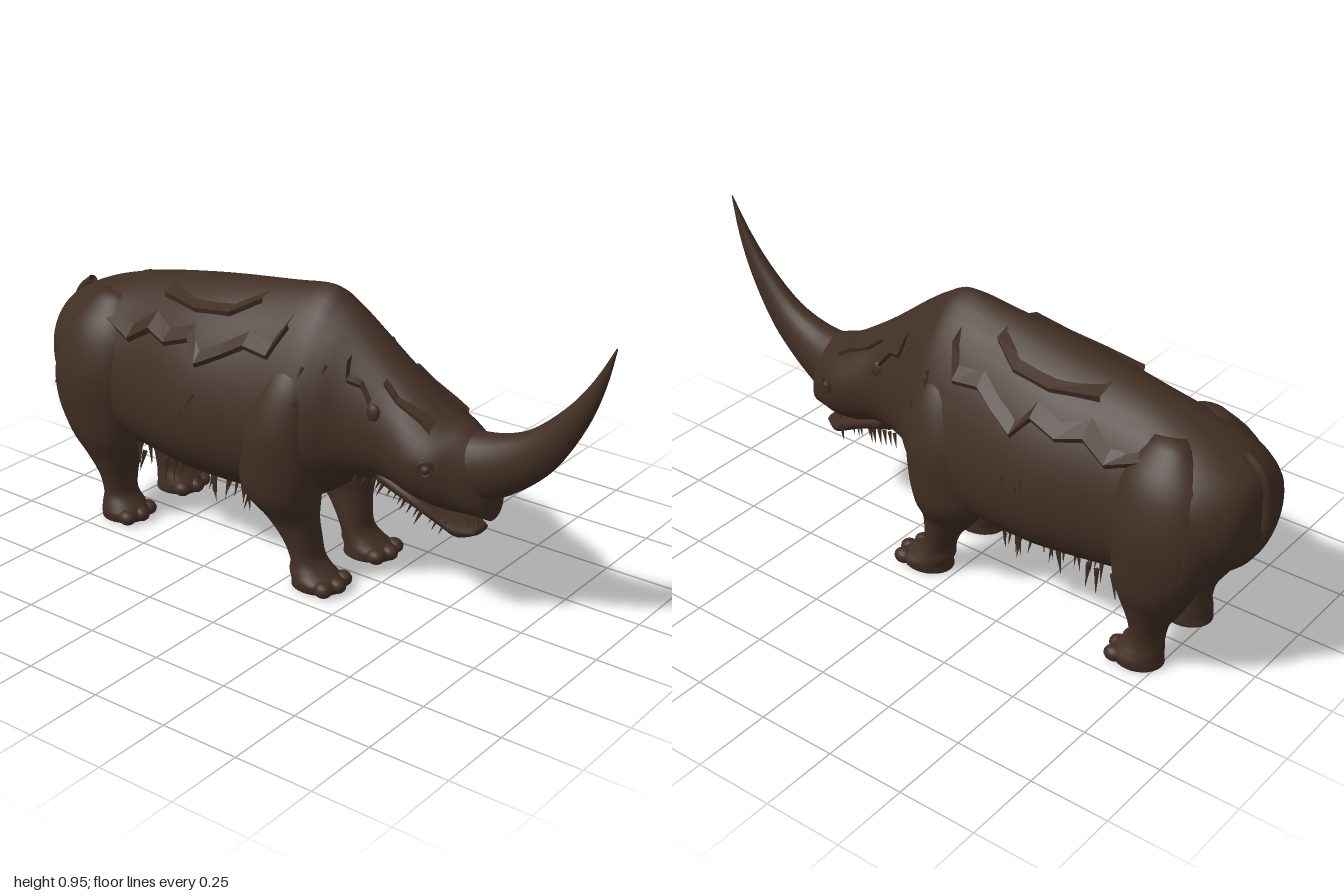
import * as THREE from 'three';

const fur = new THREE.MeshStandardMaterial({ color: 0x402e23, side: THREE.DoubleSide });
fur.name = 'darkBrownFur';

// Catmull-Rom through table rows
function smoothRows(rows, sub) {
  const out = [];
  const at = i => rows[Math.max(0, Math.min(rows.length - 1, i))];
  for (let i = 0; i < rows.length - 1; i++) {
    for (let k = 0; k < sub; k++) {
      const t = k / sub;
      out.push(rows[i].map((b, c) => {
        const a = at(i - 1)[c], d = at(i + 1)[c], e = at(i + 2)[c];
        return b + 0.5 * t * (d - a + t * (2 * a - 5 * b + 4 * d - e + t * (3 * (b - d) + e - a)));
      }));
    }
  }
  out.push(rows[rows.length - 1]);
  return out;
}

// Closed skin over cross-sections; ring(row, cos, sin) gives a point
function loft(name, rows, ring, n = 28, sub = 4) {
  const pos = [], idx = [], R = smoothRows(rows, sub);
  for (const r of R) {
    for (let j = 0; j < n; j++) {
      const a = (j / n) * Math.PI * 2;
      pos.push(...ring(r, Math.cos(a), Math.sin(a)));
    }
  }
  for (let i = 0; i < R.length - 1; i++) {
    for (let j = 0; j < n; j++) {
      const a = i * n + j, b = i * n + (j + 1) % n;
      idx.push(a, b, a + n, b, b + n, a + n);
    }
  }
  for (const i of [0, R.length - 1]) {
    const c = new THREE.Vector3(), m = pos.length / 3;
    for (let j = 0; j < n; j++) c.add(new THREE.Vector3().fromArray(pos, (i * n + j) * 3));
    pos.push(...c.divideScalar(n).toArray());
    for (let j = 0; j < n; j++) {
      const a = i * n + j, b = i * n + (j + 1) % n;
      if (i === 0) idx.push(m, b, a); else idx.push(m, a, b);
    }
  }
  const g = new THREE.BufferGeometry();
  g.setAttribute('position', new THREE.Float32BufferAttribute(pos, 3));
  g.setIndex(idx);
  g.computeVertexNormals();
  return mesh(name, g);
}

function mesh(name, geometry) {
  const m = new THREE.Mesh(geometry, fur);
  m.name = name;
  return m;
}

// Rows: z, top, bottom, height of widest point, half width, upper roundness
const bodyRows = [
  [-0.98, 0.64, 0.46, 0.55, 0.09, 2], [-0.955, 0.69, 0.4, 0.54, 0.15, 2],
  [-0.88, 0.735, 0.35, 0.52, 0.21, 2], [-0.78, 0.775, 0.29, 0.5, 0.24, 1.9],
  [-0.6, 0.825, 0.255, 0.48, 0.235, 1.8], [-0.35, 0.87, 0.235, 0.48, 0.275, 1.7],
  [-0.1, 0.905, 0.235, 0.48, 0.262, 1.6], [0.05, 0.925, 0.26, 0.48, 0.25, 1.55],
  [0.12, 0.895, 0.3, 0.5, 0.22, 1.6], [0.2, 0.84, 0.355, 0.53, 0.17, 1.7],
  [0.32, 0.745, 0.38, 0.53, 0.145, 1.8], [0.42, 0.675, 0.36, 0.51, 0.158, 1.7],
  [0.5, 0.625, 0.345, 0.5, 0.148, 1.7], [0.56, 0.605, 0.345, 0.46, 0.115, 1.8],
  [0.61, 0.56, 0.345, 0.42, 0.085, 2], [0.64, 0.45, 0.335, 0.39, 0.05, 2],
];
const bodyRing = ([z, top, bot, yc, w, p], c, s) => {
  const q = s >= 0 ? p : 2.2;
  return [
    w * Math.sign(c) * Math.abs(c) ** (2 / q),
    yc + (s >= 0 ? top - yc : bot - yc) * Math.abs(s) ** (2 / q), z];
};
const dense = smoothRows(bodyRows, 8);
// Half width of the body at a given z and y
function bodyX(z, y) {
  const r = dense.find(d => d[0] >= z) || dense[dense.length - 1];
  const up = y > r[3], q = up ? r[5] : 2.2;
  const t = Math.min(1, up ? (y - r[3]) / (r[1] - r[3]) : (r[3] - y) / (r[3] - r[2]));
  return r[4] * (1 - t ** q) ** (1 / q);
}

const legRing = ([y, zc, rz, xc, rx], c, s) => [xc + rx * c, y, zc - rz * s];
const frontLegRows = [
  [0.005, 0.105, 0.085, 0.133, 0.07], [0.03, 0.11, 0.088, 0.135, 0.073],
  [0.055, 0.085, 0.072, 0.132, 0.066], [0.09, 0.065, 0.05, 0.128, 0.061],
  [0.15, 0.045, 0.06, 0.13, 0.064], [0.22, 0.015, 0.09, 0.14, 0.073],
  [0.3, -0.01, 0.125, 0.155, 0.108], [0.4, -0.01, 0.14, 0.16, 0.115],
  [0.52, 0, 0.13, 0.165, 0.107], [0.66, 0.02, 0.09, 0.15, 0.072], [0.76, 0.02, 0.03, 0.12, 0.02],
];
const hindLegRows = [
  [0.005, -0.685, 0.078, 0.133, 0.07], [0.03, -0.68, 0.08, 0.135, 0.073],
  [0.055, -0.69, 0.07, 0.132, 0.066], [0.09, -0.705, 0.053, 0.128, 0.058],
  [0.15, -0.71, 0.062, 0.13, 0.064], [0.22, -0.72, 0.095, 0.138, 0.078],
  [0.3, -0.735, 0.125, 0.15, 0.1], [0.4, -0.75, 0.155, 0.156, 0.107],
  [0.52, -0.745, 0.165, 0.157, 0.107], [0.66, -0.735, 0.13, 0.135, 0.085], [0.76, -0.73, 0.05, 0.1, 0.03],
];

// Horn rows: z, y, direction in degrees, half thickness, half width
const hornRows = [
  [0.57, 0.49, 25, 0.115, 0.09], [0.68, 0.53, 36, 0.09, 0.066], [0.79, 0.6, 45, 0.065, 0.047],
  [0.89, 0.72, 58, 0.04, 0.03], [0.955, 0.835, 68, 0.02, 0.016], [1, 0.95, 74, 0.002, 0.002],
];
const hornRing = ([z, y, deg, th, w], c, s) => {
  const a = THREE.MathUtils.degToRad(deg);
  return [w * c, y + th * s * Math.cos(a), z - th * s * Math.sin(a)];
};

// Overlapping mat of fur: a strip lifted from the body along its lower edge
function furFlap(points, side, width) {
  const pos = [], idx = [];
  points.forEach(([z, y], i) => {
    const row = (yy, off) => pos.push(side * (bodyX(z, yy) + off), yy + off * 0.6, z);
    row(y + width, -0.004); row(y, 0.012); row(y - 0.012, -0.006);
    if (i) for (const k of [0, 1]) {
      const a = i * 3 + k, b = a - 3;
      idx.push(...(side > 0 ? [b, b + 1, a, b + 1, a + 1, a] : [b, a, b + 1, b + 1, a, a + 1]));
    }
  });
  const g = new THREE.BufferGeometry();
  g.setAttribute('position', new THREE.Float32BufferAttribute(pos, 3));
  g.setIndex(idx);
  const flat = g.toNonIndexed();
  flat.computeVertexNormals();
  return mesh('furMat', flat);
}

// Thin cone pointing along dir, rooted at p
function spike(name, p, dir, len, r) {
  const m = mesh(name, new THREE.ConeGeometry(r, len, 5).translate(0, len / 2, 0));
  m.position.set(...p);
  m.quaternion.setFromUnitVectors(new THREE.Vector3(0, 1, 0), new THREE.Vector3(...dir).normalize());
  return m;
}

function ball(name, r, p, scale) {
  const m = mesh(name, new THREE.SphereGeometry(r, 14, 10));
  m.position.set(...p);
  m.scale.set(...scale);
  return m;
}

export function createModel() {
  const model = new THREE.Group();
  model.name = 'woollyRhinoceros';
  let seed = 7;
  const rnd = () => (seed = (seed * 16807) % 2147483647) / 2147483647;

  model.add(loft('bodyAndHead', bodyRows, bodyRing, 40));
  model.add(loft('horn', hornRows, hornRing, 24));
  model.add(loft('lowerJaw', [
    [0.3, 0.46, 0.37, 0.42, 0.11, 2], [0.42, 0.4, 0.33, 0.37, 0.105, 2], [0.5, 0.345, 0.285, 0.32, 0.08, 2],
    [0.55, 0.318, 0.262, 0.292, 0.066, 2], [0.6, 0.3, 0.28, 0.29, 0.035, 2]], bodyRing, 24));

  // Tail lying against the rump
  const tail = new THREE.CatmullRomCurve3([[0.73, -0.91], [0.68, -0.965], [0.6, -0.985], [0.52, -0.985]]
    .map(([y, z]) => new THREE.Vector3(0, y, z)));
  model.add(mesh('tail', new THREE.TubeGeometry(tail, 16, 0.016, 8)));
  model.add(spike('tailTuft', [0, 0.53, -0.985], [0, -1, 0.1], 0.08, 0.016));

  // Teeth along the open mouth
  for (let i = -2; i <= 2; i++) {
    const z = 0.585 - Math.abs(i) * 0.02;
    model.add(spike('tooth', [i * 0.018, 0.3, z], [0, 1, 0], 0.025, 0.008));
  }

  const mats = [
    [0.055, [[0, 0.82], [-0.04, 0.73], [-0.13, 0.74], [-0.2, 0.7], [-0.28, 0.66], [-0.33, 0.72],
      [-0.42, 0.69], [-0.5, 0.71], [-0.58, 0.66], [-0.7, 0.7]]],
    [0.03, [[-0.13, 0.86], [-0.22, 0.81], [-0.35, 0.795], [-0.5, 0.805]]],
    [0.025, [[0.48, 0.6], [0.44, 0.625], [0.36, 0.66], [0.31, 0.7]]],
    [0.025, [[0.29, 0.64], [0.25, 0.69], [0.21, 0.7], [0.2, 0.75]]],
  ];

  for (const side of [1, -1]) {
    const half = new THREE.Group();
    half.name = side > 0 ? 'leftSide' : 'rightSide';
    const legs = [['frontLeg', frontLegRows, 0.165], ['hindLeg', hindLegRows, -0.63]];
    for (const [name, rows, toeZ] of legs) {
      half.add(loft(name, rows, ([y, z, rz, xc, rx], c, s) =>
        legRing([y, z, rz, side * xc, rx], c, s)));
      for (const k of [-1, 0, 1]) {
        half.add(ball('toe', 0.026, [side * 0.135 + k * 0.05, 0.026, toeZ + (k ? 0 : 0.015)], [1, 0.95, 1.2]));
      }
    }

    // Eye, brow and ear
    half.add(ball('eye', 0.016, [side * 0.142, 0.505, 0.495], [0.8, 0.8, 1]));
    const brow = mesh('eyelid', new THREE.TorusGeometry(0.022, 0.007, 6, 16));
    brow.position.set(side * 0.145, 0.508, 0.495);
    brow.rotation.y = side * 1.1;
    half.add(brow, ball('ear', 0.03, [side * 0.125, 0.62, 0.3], [0.5, 1, 0.8]));

    for (const [w, pts] of mats) half.add(furFlap(pts, side, w));

    // Belly fringe
    for (let i = 0; i < 30; i++) {
      const z = -0.13 - 0.5 * (i / 29), x = side * (0.04 + rnd() * 0.13);
      half.add(spike('bellyFur', [x, 0.275, z], [side * 0.15, -1, -0.3 + rnd() * 0.5], 0.07 + rnd() * 0.02, 0.009));
    }
    // Beard under the jaw and throat
    for (let i = 0; i < 18; i++) {
      const t = i / 17, z = 0.16 + 0.36 * t;
      half.add(spike('beard', [side * (0.05 + rnd() * 0.05), 0.4 - 0.08 * t * t, z], [side * 0.3, -1, -0.4], 0.05, 0.007));
    }
    // Loose tufts on hip, shoulder and flank
    for (const [z, y, n] of [[-0.82, 0.45, 8], [0.06, 0.4, 3], [-0.3, 0.52, 3], [0.1, 0.68, 3]]) {
      for (let i = 0; i < n; i++) {
        const zz = z + (rnd() - 0.5) * 0.1, yy = y + (rnd() - 0.5) * 0.12;
        half.add(spike('furTuft', [side * (bodyX(zz, yy) + 0.005), yy, zz], [side * 0.4, -1, -0.3], 0.05, 0.006));
      }
    }
    model.add(half);
  }
  return model;
}
